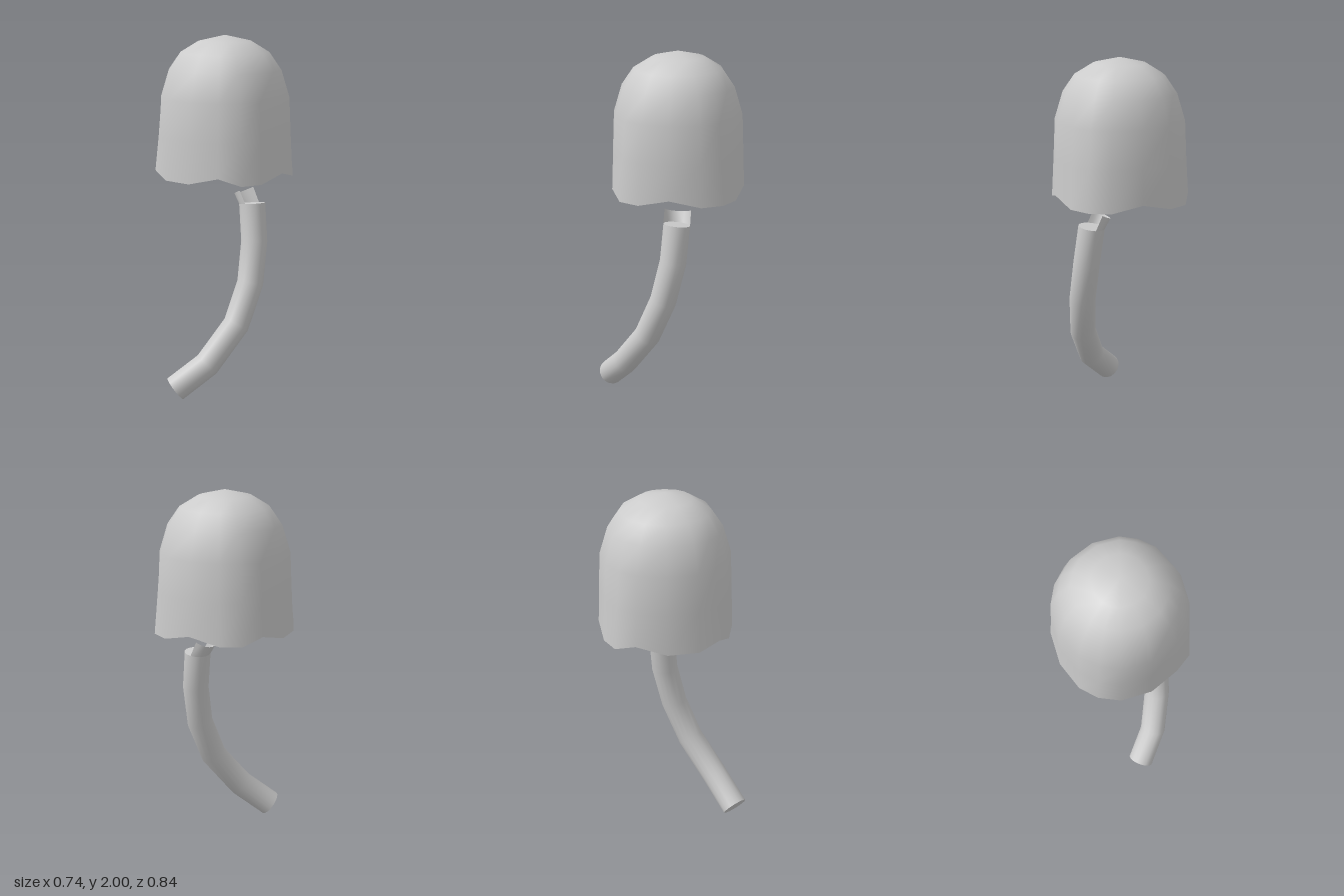
import * as THREE from 'three';
import { mergeVertices } from 'three/addons/utils/BufferGeometryUtils.js';

const material = new THREE.MeshStandardMaterial({ color: 0xcccccc, side: THREE.DoubleSide });

// Skin a list of equal-length rings, from bottom to top
function loft(name, rings, closed = true) {
  const n = rings[0].length;
  const index = [];
  for (let r = 0; r < rings.length - 1; r++) {
    for (let i = 0; i < (closed ? n : n - 1); i++) {
      const a = r * n + i, b = r * n + (i + 1) % n;
      index.push(a, a + n, b, b, a + n, b + n);
    }
  }
  let geometry = new THREE.BufferGeometry().setFromPoints(rings.flat());
  geometry.setIndex(index);
  geometry = mergeVertices(geometry, 1e-5);
  geometry.computeVertexNormals();
  const mesh = new THREE.Mesh(geometry, material);
  mesh.name = name;
  return mesh;
}

// Points of a circle (or arc) around a centre, square to a direction
function ring(center, direction, radius, count, start = 0, sweep = Math.PI * 2) {
  const t = direction.clone().normalize();
  const u = new THREE.Vector3(1, 0, 0).addScaledVector(t, -t.x).normalize();
  const v = u.clone().cross(t);
  const steps = sweep < 6 ? count - 1 : count;
  return Array.from({ length: count }, (_, i) => {
    const a = start + sweep * i / steps;
    return center.clone().addScaledVector(u, radius * Math.cos(a)).addScaledVector(v, radius * Math.sin(a));
  });
}

// Hollow dome with a slightly flared, scalloped rim
function createCap() {
  const angles = [0, 26.6, 45, 63.4];
  const centerZ = -0.055;
  const profile = [ // radius, height
    [0.37, 1.22], [0.363, 1.45], [0.355, 1.66], [0.31, 1.81], [0.245, 1.905], [0.145, 1.967], [0, 2],
  ];
  const rimScale = [1, 1.027, 1.07, 1.027];
  const rings = profile.map(([radius, y], level) => Array.from({ length: 16 }, (_, i) => {
    const a = THREE.MathUtils.degToRad(angles[i % 4] + 90 * Math.floor(i / 4));
    const flare = level === 0 ? rimScale[i % 4] : level === 1 ? (1 + rimScale[i % 4]) / 2 : 1.01;
    const r = radius * (level > 1 && i % 4 === 0 ? 1 : flare);
    const lift = level === 0 && i % 3 === 0 && i < 15 ? 0.04 : 0; // five notches
    return new THREE.Vector3(r * Math.cos(a), y + lift, centerZ + r * Math.sin(a));
  }));
  return loft('cap', rings);
}

// Bent stalk with closed ends and a half-round sliver standing on top
function createStem() {
  const group = new THREE.Group();
  group.name = 'stem';
  const radius = 0.074, sides = 16;
  const path = [
    [-0.07, 0.058, 0.35], [0.07, 0.195, 0.24], [0.17, 0.405, 0.095],
    [0.203, 0.63, 0], [0.195, 0.86, -0.055], [0.17, 1.07, -0.072],
  ].map((p) => new THREE.Vector3(...p));
  const rings = path.map((p, i) => {
    const before = path[Math.max(i - 1, 0)], after = path[Math.min(i + 1, path.length - 1)];
    return ring(p, after.clone().sub(before), radius, sides);
  });
  const last = path.length - 1;
  const point = (p) => Array.from({ length: sides }, () => p.clone());
  group.add(loft('stalk', rings));
  group.add(loft('stalkBottom', [point(path[0]), rings[0]]));
  group.add(loft('stalkTop', [rings[last], point(path[last])]));

  const tip = new THREE.Vector3(0.132, 1.148, -0.073);
  const half = (p, d) => ring(p, d, radius, 9, Math.PI / 2, Math.PI);
  group.add(loft('brokenSliver', [
    half(path[last], path[last].clone().sub(path[last - 1])),
    half(tip, tip.clone().sub(path[last])),
  ], false));
  return group;
}

export function createModel() {
  const model = new THREE.Group();
  model.name = 'mushroom';
  model.add(createCap(), createStem());
  return model;
}
